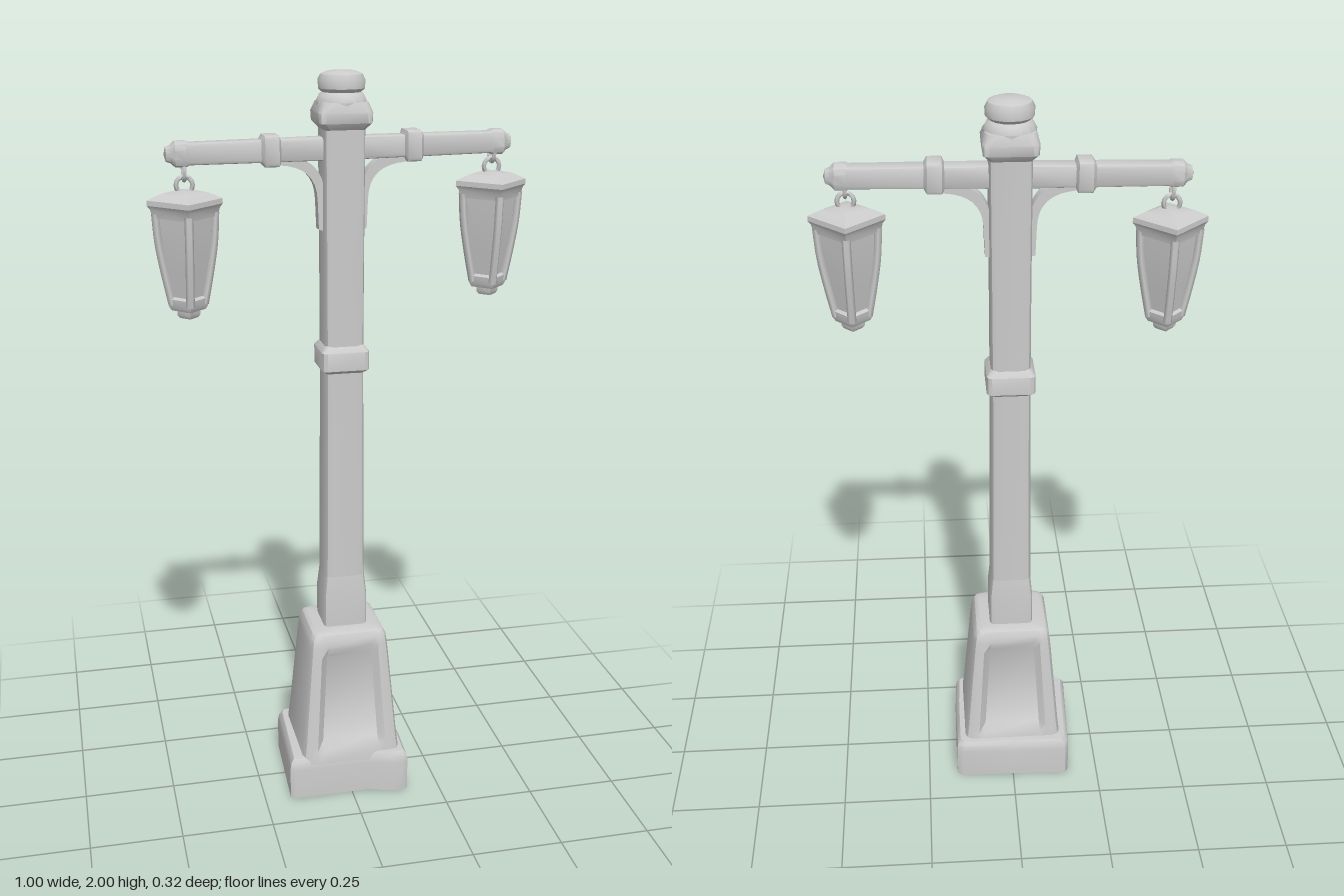
import * as THREE from 'three';
import { toCreasedNormals } from 'three/addons/utils/BufferGeometryUtils.js';

const grey = new THREE.MeshStandardMaterial({ color: 0xcccccc, side: THREE.DoubleSide });

function add(parent, geo, name, crease = 0.7) {
  const mesh = new THREE.Mesh(toCreasedNormals(geo, crease), grey);
  mesh.name = name;
  parent.add(mesh);
  return mesh;
}

// Skin over closed cross-sections, each a list of [x, y, z]
function loft(rings) {
  const n = rings[0].length, index = [];
  for (let r = 0; r < rings.length - 1; r++) {
    for (let i = 0; i < n; i++) {
      const a = r * n + i, b = r * n + (i + 1) % n;
      index.push(a, a + n, b, b, a + n, b + n);
    }
  }
  const geo = new THREE.BufferGeometry();
  geo.setAttribute('position', new THREE.Float32BufferAttribute(rings.flat(2), 3));
  geo.setIndex(index);
  return geo;
}

// Rounded rectangle at height y, half sizes hx and hz, corner radius c
function section(y, hx, hz, c) {
  const pts = [];
  for (let k = 0; k < 4; k++) {
    const sx = k === 0 || k === 3 ? 1 : -1, sz = k < 2 ? 1 : -1;
    for (let j = 0; j < 3; j++) {
      const a = (k + j / 2) * Math.PI / 2;
      pts.push([sx * (hx - c) + c * Math.cos(a), y, sz * (hz - c) + c * Math.sin(a)]);
    }
  }
  return pts;
}

// Square column from a profile of [y, half size, corner radius]
const column = profile => loft(profile.map(([y, h, c]) => section(y, h, h, c)));

// Pedestal cross-section with a recess of the given depth in front and back
function panelSection(y, hx, hz, depth) {
  const c = 0.022, w = hx * 0.72, v = w - 0.018;
  const half = [[hx, hz - c], [hx - c * 0.3, hz - c * 0.3], [hx - c, hz], [w, hz], [v, hz - depth],
    [-v, hz - depth], [-w, hz], [-hx + c, hz], [-hx + c * 0.3, hz - c * 0.3], [-hx, hz - c]];
  return [...half, ...half.map(([x, z]) => [-x, -z])].map(([x, z]) => [x, y, z]);
}

function buildBase(parent) {
  // Uneven plinth, open underneath
  const outline = [[0.165, 0.04], [0.16, 0.15], [0.145, 0.16], [0.115, 0.16], [0.05, 0.138], [-0.165, 0.14],
    [-0.178, 0.13], [-0.165, -0.15], [-0.155, -0.165], [0, -0.16], [0.15, -0.158], [0.166, -0.145], [0.166, -0.06]];
  const levels = [[0, 1], [0.09, 1], [0.11, 0.98], [0.122, 0.93], [0.124, 0.78]];
  add(parent, loft(levels.map(([y, s]) => outline.map(([x, z]) => [x * s, y, z * s]))), 'plinth');

  // Tapered pedestal with sunken panels
  const levels2 = [[0.1, 0.142, 0.138, 0], [0.14, 0.138, 0.135, 0], [0.165, 0.135, 0.132, 0.02],
    [0.42, 0.113, 0.111, 0.016], [0.45, 0.11, 0.108, 0], [0.472, 0.107, 0.105, 0],
    [0.486, 0.1, 0.098, 0], [0.491, 0.088, 0.086, 0], [0.491, 0.04, 0.04, 0]];
  add(parent, loft(levels2.map(l => panelSection(...l))), 'pedestal');
}

function buildPost(parent) {
  add(parent, column([[0.48, 0.057, 0.02], [0.8, 0.055, 0.02], [1.22, 0.052, 0.018],
    [1.5, 0.052, 0.016], [1.88, 0.053, 0.014]]), 'post');
  add(parent, column([[0.48, 0.061, 0.014], [0.58, 0.061, 0.014], [0.64, 0.056, 0.02]]), 'postFoot');
  add(parent, column([[1.225, 0.05, 0.012], [1.236, 0.064, 0.014], [1.285, 0.064, 0.014],
    [1.302, 0.05, 0.012]]), 'postCollar');
  add(parent, column([[1.855, 0.05, 0.012], [1.875, 0.068, 0.014], [1.9, 0.07, 0.018],
    [1.925, 0.062, 0.03], [1.93, 0, 0]]), 'capitalBlock');

  // Round finial
  const profile = [[0.062, 1.9], [0.066, 1.925], [0.058, 1.942], [0.05, 1.948], [0.06, 1.957],
    [0.061, 1.978], [0.054, 1.992], [0.035, 1.999], [0, 2]];
  add(parent, new THREE.LatheGeometry(profile.map(p => new THREE.Vector2(...p)), 16), 'finial');
}

// Arm along x with a collar and knobbed end
function buildArm(parent, side) {
  const arm = add(parent, column([[0.03, 0.029, 0.008], [0.16, 0.028, 0.008], [0.166, 0.039, 0.01],
    [0.202, 0.039, 0.01], [0.21, 0.028, 0.008], [0.39, 0.027, 0.009], [0.398, 0.032, 0.018],
    [0.425, 0.032, 0.022], [0.436, 0.022, 0.018], [0.447, 0.018, 0.015], [0.452, 0, 0]]), 'arm');
  arm.rotation.z = -side * Math.PI / 2 + 0.012;
  arm.position.y = 1.81;

  // Curved bracket between post and arm
  const shape = new THREE.Shape();
  shape.moveTo(0.045, 1.6);
  shape.lineTo(0.063, 1.605);
  shape.lineTo(0.066, 1.68);
  shape.bezierCurveTo(0.068, 1.74, 0.1, 1.767, 0.165, 1.772);
  shape.lineTo(0.165, 1.79);
  shape.lineTo(0.12, 1.79);
  shape.bezierCurveTo(0.08, 1.78, 0.055, 1.755, 0.045, 1.7);
  shape.closePath();
  const geo = new THREE.ExtrudeGeometry(shape, { depth: 0.036, bevelEnabled: false, curveSegments: 8 });
  geo.translate(0, 0, -0.018);
  const bracket = add(parent, geo, 'bracket');
  if (side < 0) bracket.rotation.y = Math.PI;
}

// Four-sided lantern turned corner-on; y = 0 is the top of its lid
function buildLantern(parent, x, y) {
  const lantern = new THREE.Group();
  lantern.name = 'lantern';
  lantern.position.set(x, y, 0);
  parent.add(lantern);
  const lathe = (pts, name) =>
    add(lantern, new THREE.LatheGeometry(pts.map(p => new THREE.Vector2(...p)), 4), name, 0.5);

  lathe([[0.05, -0.066], [0.083, -0.066], [0.088, -0.045], [0.096, -0.035], [0.095, -0.022],
    [0.078, -0.014], [0.058, -0.006], [0.03, 0], [0, 0.002]], 'lanternLid');
  lathe([[0.038, -0.295], [0.053, -0.21], [0.066, -0.13], [0.071, -0.06]], 'lanternPanels');
  lathe([[0, -0.305], [0.044, -0.305], [0.05, -0.296], [0.053, -0.275], [0.04, -0.268]], 'lanternBottom');
  lathe([[0, -0.326], [0.024, -0.326], [0.03, -0.318], [0.03, -0.3]], 'lanternTip');

  // Corner ribs
  const path = new THREE.CatmullRomCurve3([[0.042, -0.29], [0.058, -0.21], [0.071, -0.13], [0.076, -0.055]]
    .map(([r, h]) => new THREE.Vector3(r, h, 0)));
  for (let i = 0; i < 4; i++) {
    const rib = add(lantern, new THREE.TubeGeometry(path, 8, 0.011, 6), 'lanternRib', 1.2);
    rib.rotation.y = i * Math.PI / 2;
  }

  // Hanging links
  const lower = add(lantern, new THREE.TorusGeometry(0.021, 0.006, 6, 14), 'lowerLink', 1.2);
  lower.position.y = 0.014;
  const upper = add(lantern, new THREE.TorusGeometry(0.02, 0.0055, 6, 14), 'upperLink', 1.2);
  upper.position.y = 0.05;
  upper.scale.y = 1.2;
  upper.rotation.y = Math.PI / 2;
}

export function createModel() {
  const model = new THREE.Group();
  model.name = 'streetLamp';
  buildBase(model);
  const upper = new THREE.Group();
  upper.name = 'postAndArms';
  upper.position.z = -0.006;
  model.add(upper);
  buildPost(upper);
  for (const side of [-1, 1]) {
    buildArm(upper, side);
    buildLantern(upper, side < 0 ? -0.403 : 0.402, side < 0 ? 1.714 : 1.738);
  }
  return model;
}
